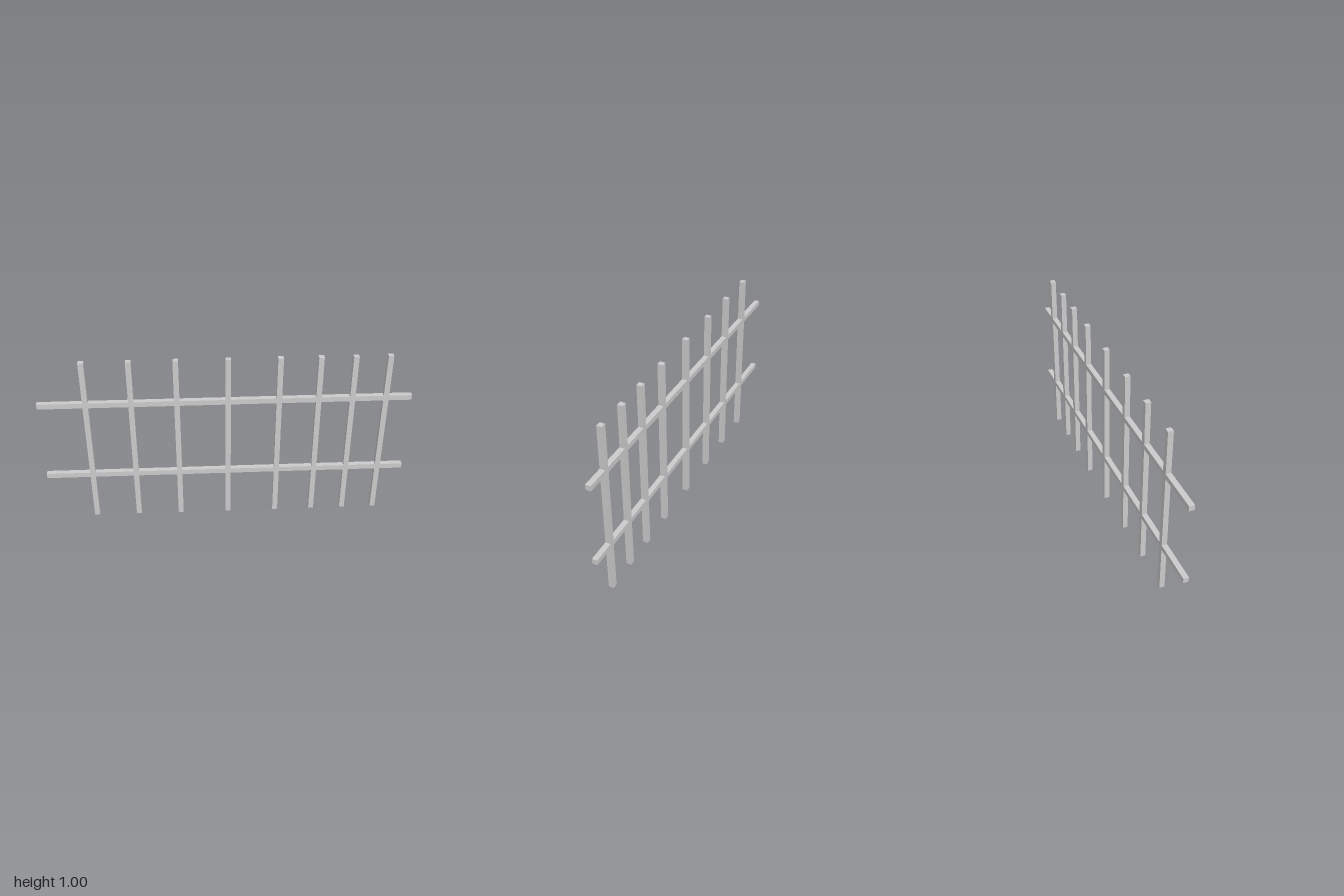
import * as THREE from 'three';

const BAR = 0.029; // square section shared by all bars
const POSTS_X = [-0.745, -0.503, -0.26, 0.013, 0.286, 0.498, 0.68, 0.861];
const RAILS_Y = [0.29, 0.745];

export function createModel() {
  const group = new THREE.Group();
  group.name = 'fence';
  const material = new THREE.MeshStandardMaterial({ color: 0xcccccc });

  const addBar = (name, w, h, x, y) => {
    const bar = new THREE.Mesh(new THREE.BoxGeometry(w, h, BAR), material);
    bar.name = name;
    bar.position.set(x, y, 0);
    group.add(bar);
  };

  // Upright posts, closing up towards one end
  POSTS_X.forEach((x, i) => addBar(`post${i + 1}`, BAR, 1, x, 0.5));

  // Horizontal rails, flush with the posts
  RAILS_Y.forEach((y, i) => addBar(i ? 'upperRail' : 'lowerRail', 2, BAR, 0, y));

  return group;
}
